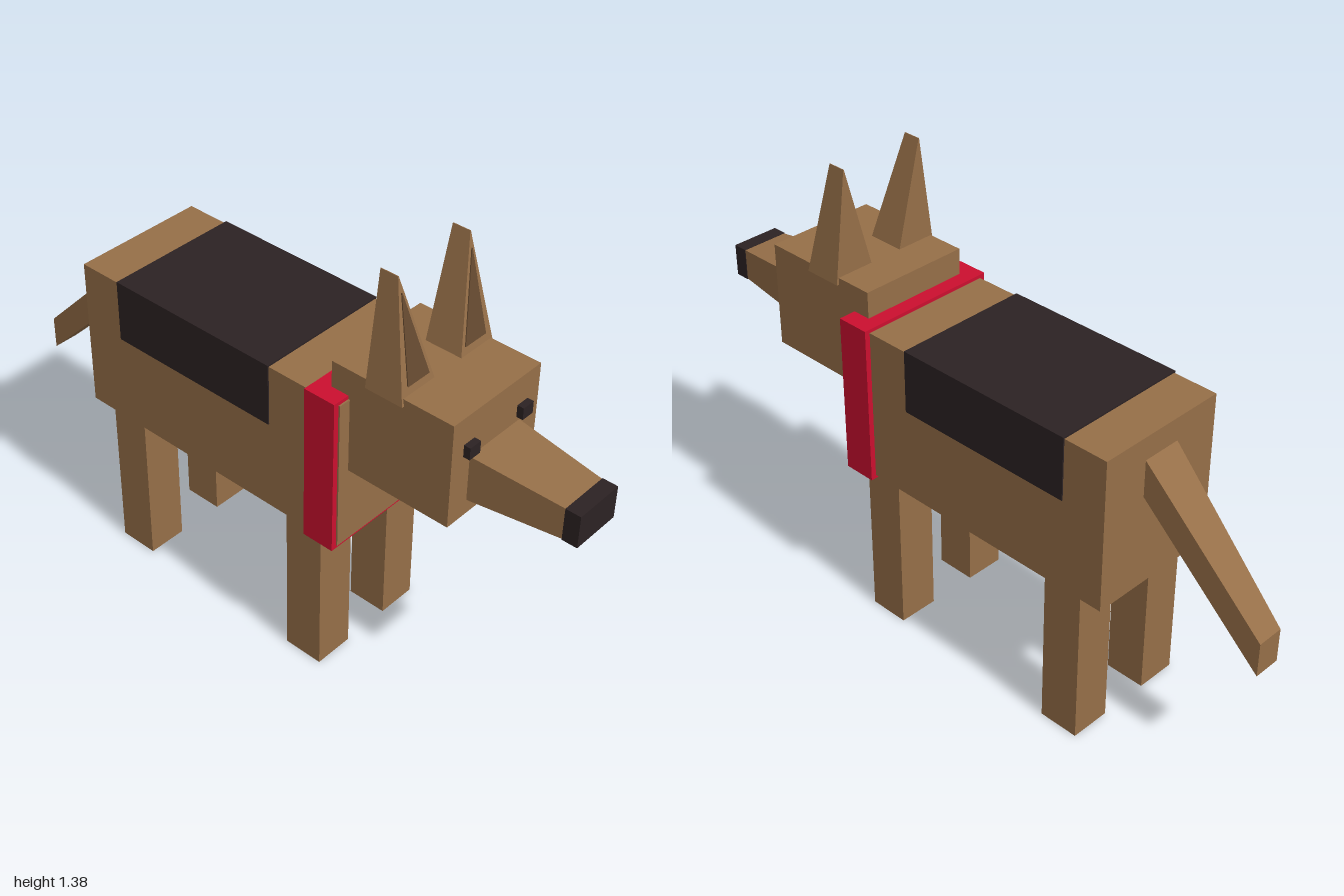
import * as THREE from 'three';

const paint = (name, color) => {
  const m = new THREE.MeshStandardMaterial({ color });
  m.name = name;
  return m;
};

export function createModel() {
  const fur = paint('tan fur', 0x966f48);
  const black = paint('black fur', 0x2c2223);
  const red = paint('red collar', 0xcc0f2f);
  const inner = paint('inner ear brown', 0x664a30);

  const model = new THREE.Group();
  model.name = 'dog';
  const dog = new THREE.Group();
  dog.name = 'turnedBody';
  dog.rotation.y = -0.04; // stands slightly turned
  dog.position.x = 0.003;
  model.add(dog);

  const add = (name, geometry, material) => {
    const mesh = new THREE.Mesh(geometry, material);
    mesh.name = name;
    dog.add(mesh);
    return mesh;
  };

  // Box between limits, centred at x
  const block = (name, material, x, width, y0, y1, z0, z1) =>
    add(name, new THREE.BoxGeometry(width, y1 - y0, z1 - z0), material)
      .position.set(x, (y0 + y1) / 2, (z0 + z1) / 2);

  // Six-sided solid: place(sx, sy, sz) gives each corner from its signs
  const solid = (name, material, place) => {
    const g = new THREE.BoxGeometry(2, 2, 2).toNonIndexed();
    const p = g.attributes.position;
    for (let i = 0; i < p.count; i++) p.setXYZ(i, ...place(p.getX(i), p.getY(i), p.getZ(i)));
    g.computeVertexNormals();
    add(name, g, material);
  };

  // Torso, saddle patch and collar
  block('torso', fur, 0, 0.425, 0.5, 0.974, -0.615, 0.347);
  block('saddle', black, 0, 0.433, 0.785, 0.979, -0.475, 0.1);
  block('collar', red, 0, 0.458, 0.489, 0.985, 0.24, 0.342);

  // Head, snout and nose
  block('head', fur, 0, 0.35, 0.742, 1.066, 0.285, 0.677);
  solid('snout', fur, (sx, sy, sz) => sz > 0
    ? [sx * 0.075, 0.855 + sy * 0.048, 0.96]
    : [sx * 0.103, 0.858 + sy * 0.072, 0.66]);
  block('nose', black, 0, 0.155, 0.805, 0.905, 0.951, 0.997);

  for (const s of [1, -1]) {
    const side = s > 0 ? 'left' : 'right';
    block(side + 'Eye', black, s * 0.108, 0.042, 0.944, 0.981, 0.66, 0.697);
    block(side + 'FrontLeg', fur, s * 0.141, 0.126, 0, 0.51, 0.154, 0.28);
    block(side + 'HindLeg', fur, s * 0.141, 0.126, 0, 0.51, -0.539, -0.413);

    // Ear rises to a narrow ridge, with a thin darker panel on its front slope
    solid(side + 'Ear', fur, (sx, sy, sz) => {
      const outer = sx * s > 0;
      return sy > 0
        ? [s * (outer ? 0.139 : 0.137), 1.38, sz > 0 ? 0.457 : 0.402]
        : [s * (outer ? 0.183 : 0.048), 1.045, sz > 0 ? 0.522 : 0.402];
    });
    solid(side + 'InnerEar', inner, (sx, sy, sz) => {
      const outer = sx * s > 0;
      const y = sy > 0 ? 1.335 : 1.09;
      const x = sy > 0 ? (outer ? 0.136 : 0.134) : (outer ? 0.155 : 0.072);
      return [s * x, y, 0.522 - (y - 1.045) * 0.194 + sz * 0.003];
    });
  }

  // Tail slopes down and back, tapering
  solid('tail', fur, (sx, sy, sz) => sz > 0
    ? [sx * 0.062, 0.85 + sy * 0.057, -0.61]
    : [sx * 0.042, 0.464 + sy * 0.053, -0.998]);

  return model;
}
